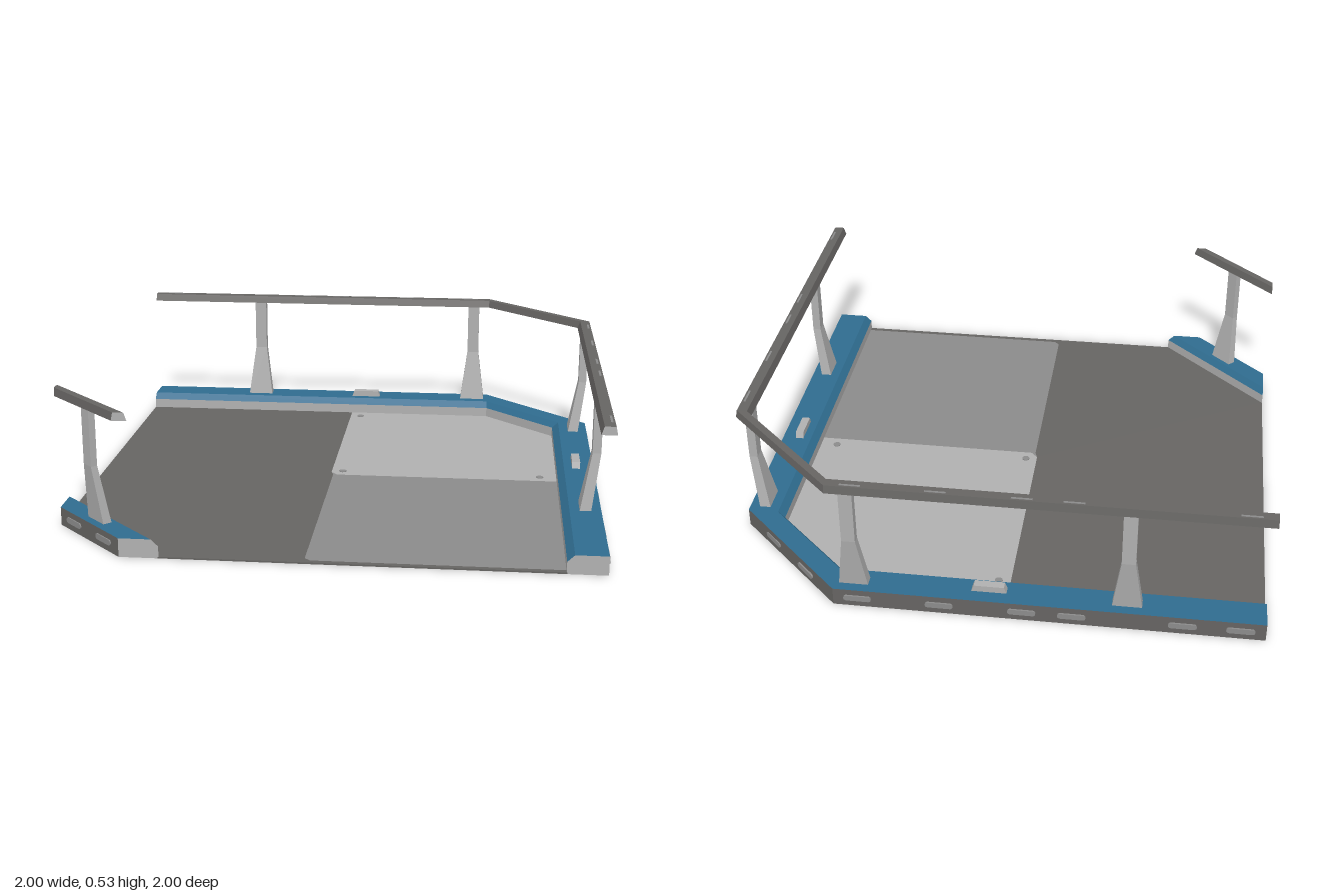
import * as THREE from 'three';

const mat = (name, color, side = THREE.FrontSide) => {
  const m = new THREE.MeshStandardMaterial({ color, side });
  m.name = name;
  return m;
};
const dark = mat('darkGrey', 0x666462);
const pale = mat('paleGrey', 0xb0b0b0);
const mid = mat('midGrey', 0x8b8b8b);
const blue = mat('blue', 0x2f6c8f);

// plan points [x, z] of each edge path, moved inward by d
const mainPath = d => [[-1, -1 + d], [0.56, -1 + d], [1 - d, -0.57], [1 - d, 1]];
const cornerPath = d => [[-0.715 + d, 1], [-1, 0.715 - d]];

// sweep a closed section of [d, y] points along a path; one material per section side
function sweep(name, path, section, sideMats, capMat) {
  const rings = section.map(([d, y]) => path(d).map(([x, z]) => [x, y, z]));
  const last = rings[0].length - 1;
  const n = section.length;
  const buckets = new Map();
  const tri = (m, ...pts) => {
    if (!buckets.has(m)) buckets.set(m, []);
    buckets.get(m).push(...pts.flat());
  };
  for (let i = 0; i < n; i++) {
    const a = rings[i], b = rings[(i + 1) % n];
    for (let s = 0; s < last; s++) {
      tri(sideMats[i], a[s], b[s], b[s + 1]);
      tri(sideMats[i], a[s], b[s + 1], a[s + 1]);
    }
  }
  for (let i = 1; i < n - 1; i++) {
    tri(capMat, rings[0][0], rings[i + 1][0], rings[i][0]);
    tri(capMat, rings[0][last], rings[i][last], rings[i + 1][last]);
  }
  const group = new THREE.Group();
  group.name = name;
  for (const [m, pts] of buckets) {
    const g = new THREE.BufferGeometry();
    g.setAttribute('position', new THREE.Float32BufferAttribute(pts, 3));
    g.computeVertexNormals();
    const mesh = new THREE.Mesh(g, m);
    mesh.name = name + '_' + m.name;
    group.add(mesh);
  }
  return group;
}

// thin floor slab from plan points [x, z]
function slab(name, pts, m) {
  const shape = new THREE.Shape(pts.map(([x, z]) => new THREE.Vector2(x, -z)));
  const g = new THREE.ExtrudeGeometry(shape, { depth: 0.006, bevelEnabled: false });
  g.rotateX(-Math.PI / 2);
  const mesh = new THREE.Mesh(g, m);
  mesh.name = name;
  return mesh;
}

// flared, leaning post; local +z points outward from the edge
function postGeometry() {
  const g = new THREE.BoxGeometry(1, 1, 1, 1, 2, 1).toNonIndexed();
  const p = g.attributes.position;
  for (let i = 0; i < p.count; i++) {
    const foot = p.getY(i) < -0.25;
    const y = foot ? 0.068 : p.getY(i) > 0.25 ? 0.505 : 0.285;
    p.setXYZ(i, p.getX(i) * (foot ? 0.108 : 0.05), y, p.getZ(i) * (foot ? 0.042 : 0.032) - (foot ? 0.064 : 0.03));
  }
  g.computeVertexNormals();
  return g;
}

// small block with sloping ends on the kerb
function blockGeometry() {
  const s = new THREE.Shape([[-0.065, 0.068], [0.065, 0.068], [0.055, 0.095], [-0.055, 0.095]].map(p => new THREE.Vector2(...p)));
  return new THREE.ExtrudeGeometry(s, { depth: 0.032, bevelEnabled: false }).translate(0, 0, -0.09);
}

// pill-shaped plate on the outer kerb face
function slotGeometry() {
  const r = 0.011, h = 0.04;
  const s = new THREE.Shape();
  s.absarc(h, 0, r, -Math.PI / 2, Math.PI / 2);
  s.absarc(-h, 0, r, Math.PI / 2, Math.PI * 1.5);
  return new THREE.ExtrudeGeometry(s, { depth: 0.006, bevelEnabled: false, curveSegments: 6 }).translate(0, 0.036, -0.005);
}

export function createModel() {
  const root = new THREE.Group();
  root.name = 'railedPlatform';

  // floor panels
  root.add(slab('darkFloor', [[-1, -0.86], [-0.065, -0.86], [-0.065, 0.02], [-0.055, 0.05], [-0.055, 0.96], [-0.035, 0.98],
    [0.855, 0.98], [0.855, 1], [-0.57, 1], [-1, 0.57]], dark));
  root.add(slab('paleFloor', [[-0.065, -0.86], [0.56, -0.86], [0.86, -0.57], [0.86, 0.05], [-0.04, 0.05], [-0.065, 0.02]], pale));
  root.add(slab('midFloor', [[-0.065, 0.02], [-0.04, 0.05], [0.855, 0.05], [0.855, 0.98], [-0.035, 0.98], [-0.055, 0.96], [-0.055, 0.05]], mid));
  for (const [x, z] of [[-0.02, -0.795], [-0.02, 0.005], [0.785, 0.005]]) {
    const dot = new THREE.Mesh(new THREE.CylinderGeometry(0.015, 0.015, 0.004, 12), mid);
    dot.name = 'floorStud';
    dot.position.set(x, 0.007, z);
    root.add(dot);
  }

  // kerbs and handrails
  const kerb = [[0.005, 0], [0.005, 0.07], [0.122, 0.07], [0.148, 0.045], [0.148, 0]];
  const rail = [[0, 0.5], [0.006, 0.53], [0.045, 0.53], [0.055, 0.5]];
  for (const [label, path] of [['main', mainPath], ['corner', cornerPath]]) {
    root.add(sweep(label + 'Kerb', path, kerb, [dark, blue, blue, pale, dark], pale));
    root.add(sweep(label + 'Handrail', path, rail, [dark, dark, dark, dark], pale));
  }

  // fittings, placed on an edge: position of its middle and outward angle
  const postGeo = postGeometry(), blockGeo = blockGeometry(), slotGeo = slotGeometry();
  const markGeo = new THREE.BoxGeometry(0.075, 0.003, 0.008).translate(0, 0.53, -0.017);
  const edge = (name, x, z, angle, { slots = [], posts = [], blocks = [], marks = [] }) => {
    const group = new THREE.Group();
    group.name = name;
    group.position.set(x, 0, z);
    group.rotation.y = angle;
    const put = (part, geo, m, list) => list.forEach(u => {
      const mesh = new THREE.Mesh(geo, m);
      mesh.name = part;
      mesh.position.x = u;
      group.add(mesh);
    });
    put('post', postGeo, pale, posts);
    put('kerbBlock', blockGeo, pale, blocks);
    put('kerbSlot', slotGeo, mid, slots);
    put('railMark', markGeo, mid, marks);
    root.add(group);
    return group;
  };
  const slots = [-0.91, -0.705, -0.31, -0.13, 0.17, 0.47];
  const marks = [-0.91, -0.31, -0.13, 0.17, 0.47];
  const posts = [-0.505, 0.49];
  const neg = list => list.map(u => -u);
  edge('backFittings', 0, -1, Math.PI, { slots: neg(slots), posts: neg(posts), blocks: [0.005], marks: neg(marks) });
  edge('leftFittings', 1, 0, Math.PI / 2, { slots, posts, blocks: [-0.005], marks });
  edge('backCornerFittings', 0.78, -0.785, Math.PI * 0.75, { slots: [-0.117, 0.117] });
  edge('frontCornerFittings', -0.8575, 0.8575, -Math.PI / 4, { slots: [-0.105, 0.105], posts: [0] }).scale.z = 0.8;

  return root;
}
